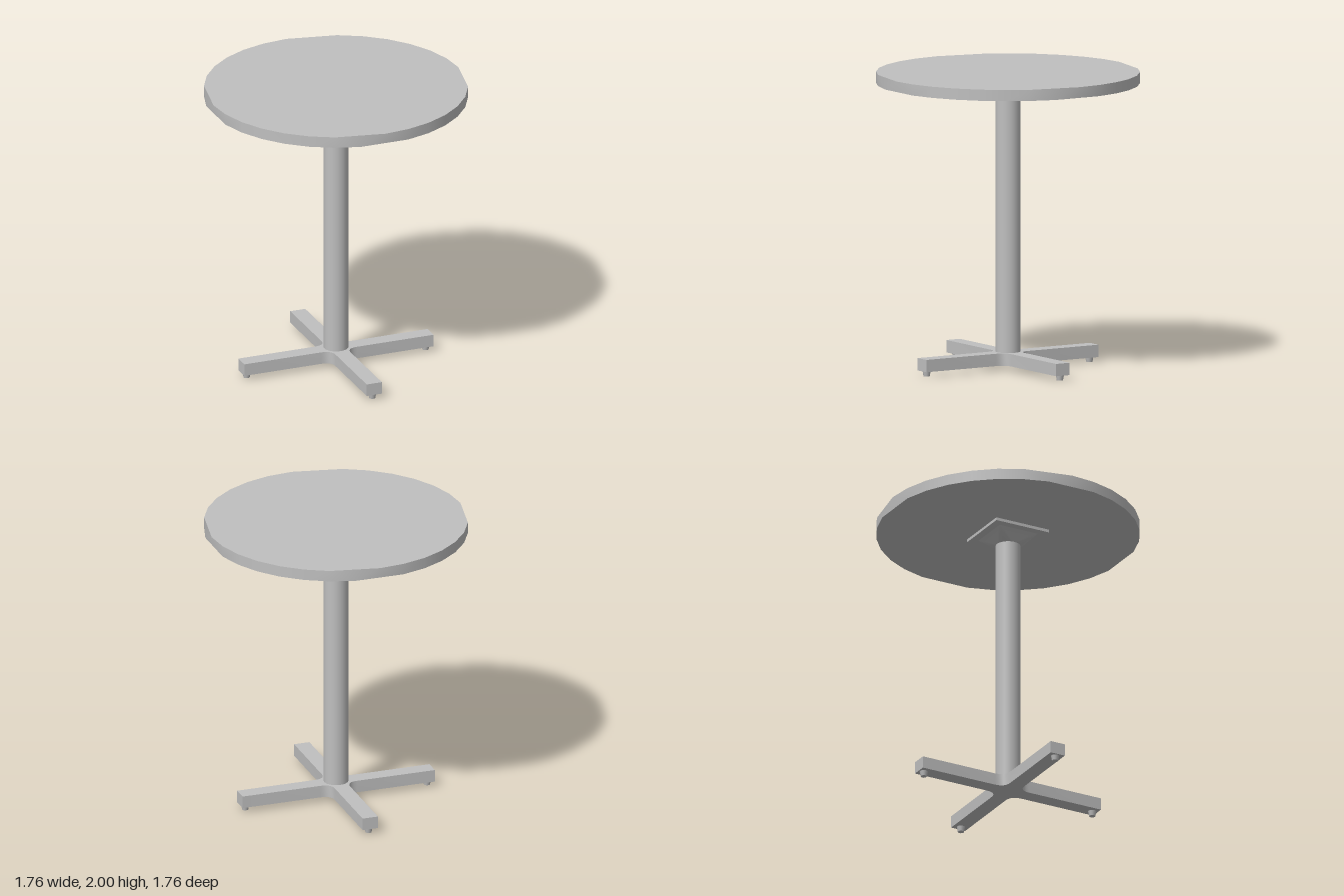
import * as THREE from 'three';
import { toCreasedNormals } from 'three/addons/utils/BufferGeometryUtils.js';
import { ConvexGeometry } from 'three/addons/geometries/ConvexGeometry.js';

export function createModel() {
  const table = new THREE.Group();
  table.name = 'pedestalTable';
  const metal = new THREE.MeshStandardMaterial({ color: 0xbfbfbf });
  metal.name = 'grey';

  const add = (name, geometry, x = 0, y = 0, z = 0) => {
    const mesh = new THREE.Mesh(geometry, metal);
    mesh.name = name;
    mesh.position.set(x, y, z);
    table.add(mesh);
  };
  const onCircle = (r, y, a) => new THREE.Vector3(r * Math.cos(a), y, r * Math.sin(a));

  // Round top: 32 steps, with four corners clipped on each face
  const rim = [];
  for (let k = 0; k < 32; k++) {
    const a = (k * Math.PI) / 16;
    if (k % 8 !== 1) rim.push(onCircle(0.88, 2, a));
    if (k % 8 !== 0) rim.push(onCircle(0.88, 1.925, a));
  }
  add('tableTop', toCreasedNormals(new ConvexGeometry(rim), 0.5));

  // Square mounting plate and the square-to-round collar below it
  add('mountingPlate', new THREE.BoxGeometry(0.4, 0.02, 0.4), 0, 1.915, 0);
  const collar = [];
  for (const x of [-0.147, 0.147])
    for (const z of [-0.147, 0.147]) collar.push(new THREE.Vector3(x, 1.907, z));
  for (let k = 0; k < 24; k++) collar.push(onCircle(0.084, 1.838, (k * Math.PI) / 12));
  add('collar', toCreasedNormals(new ConvexGeometry(collar), 0.6));

  // Column
  add('column', new THREE.CylinderGeometry(0.083, 0.083, 1.73, 24), 0, 0.98, 0);

  // Cross base with filleted inner corners
  const reach = 0.68, half = 0.054, fillet = 0.13;
  const shape = new THREE.Shape();
  for (let i = 0; i < 4; i++) {
    const c = Math.round(Math.cos((i * Math.PI) / 2));
    const s = Math.round(Math.sin((i * Math.PI) / 2));
    const turn = (x, y) => [x * c - y * s, x * s + y * c];
    if (i === 0) shape.moveTo(...turn(reach, -half));
    else shape.lineTo(...turn(reach, -half));
    shape.lineTo(...turn(reach, half));
    shape.lineTo(...turn(fillet, half));
    shape.quadraticCurveTo(...turn(half, half), ...turn(half, fillet));
  }
  shape.closePath();
  const base = new THREE.ExtrudeGeometry(shape, { depth: 0.083, bevelEnabled: false, curveSegments: 6 });
  base.rotateX(-Math.PI / 2);
  add('crossBase', toCreasedNormals(base, 0.6), 0, 0.035, 0);

  // Levelling feet under the four arm ends
  for (let i = 0; i < 4; i++) {
    const p = onCircle(0.643, 0.0185, (i * Math.PI) / 2);
    add('foot', new THREE.CylinderGeometry(0.028, 0.021, 0.037, 12), p.x, p.y, p.z);
  }
  return table;
}
